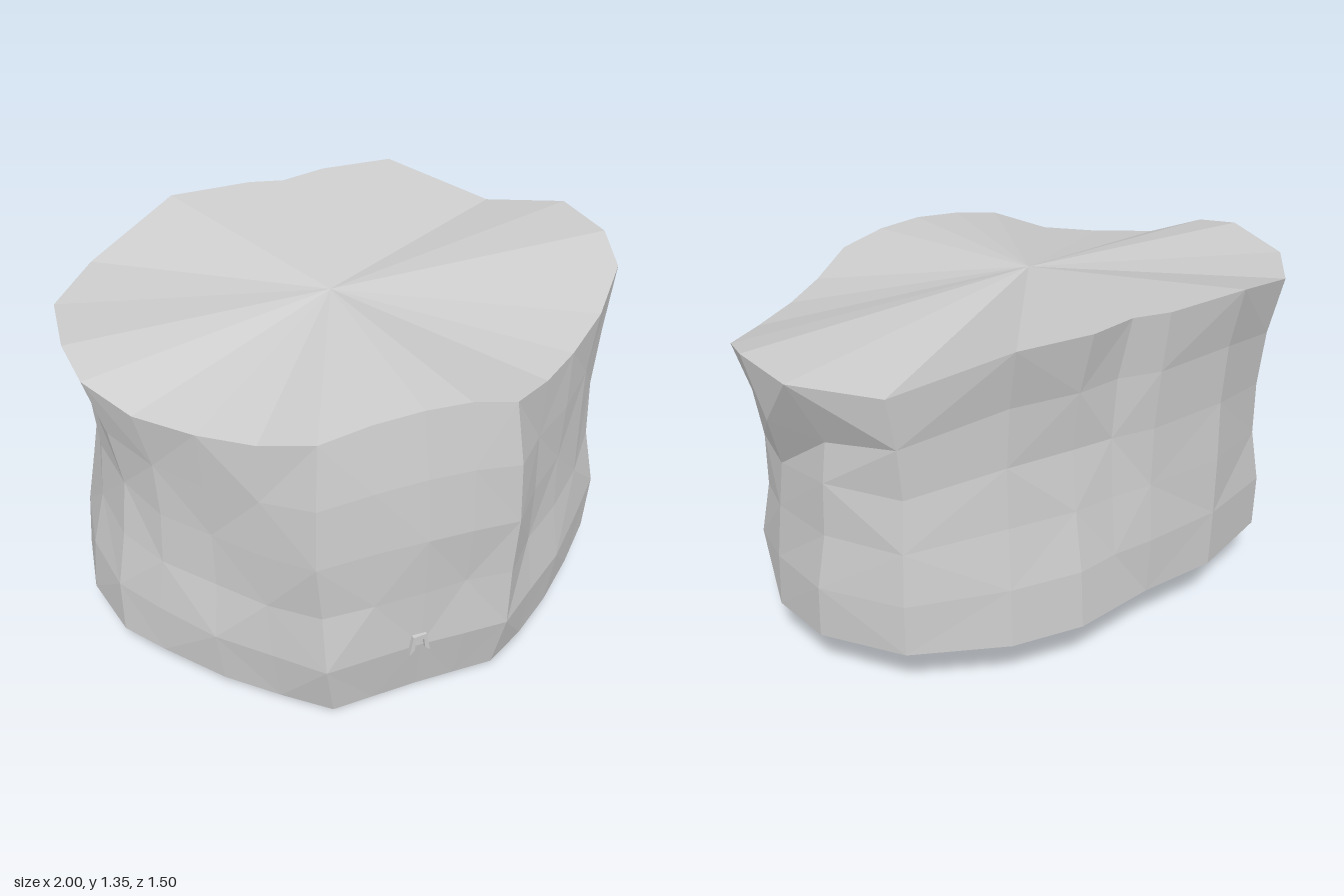
import * as THREE from 'three';

// Outlines run from the front round by +x to the back: [x, y, z]
const rim = [
  [-0.1, 1.19, 0.68], [0.06, 1.18, 0.69], [0.22, 1.14, 0.7], [0.4, 1.1, 0.59], [0.57, 1.095, 0.48], [0.77, 1.12, 0.34],
  [0.95, 1.18, 0.17], [1, 1.23, 0], [0.99, 1.235, -0.26], [0.77, 1.2, -0.46], [0.45, 1.345, -0.67], [0.19, 1.34, -0.71],
  [0.02, 1.335, -0.69], [-0.1, 1.335, -0.73], [-0.4, 1.335, -0.75], [-0.76, 1.22, -0.6], [-0.95, 1.2, -0.4],
  [-1, 1.21, -0.12], [-0.99, 1.17, 0.05], [-0.88, 1.1, 0.2], [-0.73, 1.085, 0.36], [-0.58, 1.09, 0.5],
  [-0.44, 1.14, 0.64], [-0.27, 1.175, 0.66],
];
// Waist outline: [x, z]
const waist = [
  [-0.1, 0.74], [0.06, 0.745], [0.24, 0.75], [0.38, 0.6], [0.55, 0.49], [0.7, 0.38], [0.83, 0.25], [0.88, 0.03],
  [0.87, -0.23], [0.72, -0.45], [0.43, -0.6], [0.2, -0.64], [0.05, -0.65], [-0.1, -0.69], [-0.4, -0.69], [-0.7, -0.57],
  [-0.86, -0.36], [-0.91, -0.12], [-0.9, 0.06], [-0.82, 0.21], [-0.7, 0.35], [-0.59, 0.51], [-0.47, 0.68], [-0.28, 0.715],
];
const foot = [
  [-0.1, 0.005, 0.67], [0.05, 0.003, 0.68], [0.2, 0, 0.69], [0.36, 0.015, 0.62], [0.52, 0.04, 0.53], [0.68, 0.08, 0.42],
  [0.82, 0.13, 0.31], [0.92, 0.195, 0.06], [0.91, 0.22, -0.2], [0.75, 0.24, -0.48], [0.45, 0.25, -0.66],
  [0.2, 0.25, -0.72], [0.05, 0.25, -0.71], [-0.1, 0.25, -0.7], [-0.4, 0.235, -0.7], [-0.74, 0.21, -0.59],
  [-0.95, 0.175, -0.37], [-1, 0.145, -0.15], [-0.96, 0.105, 0.07], [-0.86, 0.075, 0.2], [-0.7, 0.03, 0.38],
  [-0.55, 0.015, 0.53], [-0.41, 0.005, 0.66], [-0.26, 0.005, 0.665],
];
const N = rim.length;
const lerp = THREE.MathUtils.lerp;

// How far each row, from the bottom up, leaves the waist for the foot or the rim
const blend = [1, 0.7, 0.3, 0, 0.28, 1];
const ROWS = blend.length - 1;

// Overhanging fold on the +x side, keyed by column and row
const fold = { '7,3': [0.89, 0.79, 0.01], '7,4': [0.97, 1.02, -0.08], '8,4': [0.86, 0.98, -0.24] };

// Point on the wall: flares to the rim above the waist, bulges to the foot below
function wallPoint(j, row) {
  if (row === 0) return foot[j];
  if (row === ROWS) return rim[j];
  if (fold[`${j},${row}`]) return fold[`${j},${row}`];
  const t = row / ROWS;
  const end = t > 0.5 ? rim[j] : foot[j];
  const x = lerp(waist[j][0], end[0], blend[row]);
  const z = lerp(waist[j][1], end[2], blend[row]);
  const bulge = row === 1 ? 1.01 + 0.05 * Math.max(0, z) : 1;
  const rough = 1 + 0.006 * Math.sin(j * 2.7 + row * 4.1);
  const s = Math.min(bulge * rough, 1 / Math.abs(x));
  return [x * s, lerp(foot[j][1], rim[j][1], t), z * s];
}

function surface(name, positions, index) {
  const geometry = new THREE.BufferGeometry();
  geometry.setAttribute('position', new THREE.Float32BufferAttribute(positions.flat(), 3));
  geometry.setIndex(index);
  geometry.computeVertexNormals();
  const mesh = new THREE.Mesh(geometry, new THREE.MeshStandardMaterial({ color: 0xcccccc, flatShading: true }));
  mesh.name = name;
  return mesh;
}

// Fan of triangles from a centre point to an outline
function cap(name, centre, outline, up) {
  const index = [];
  for (let j = 0; j < N; j++) {
    const a = j + 1, b = ((j + 1) % N) + 1;
    index.push(0, ...(up ? [a, b] : [b, a]));
  }
  return surface(name, [centre, ...outline], index);
}

export function createModel() {
  const group = new THREE.Group();
  group.name = 'rockSlab';

  // Faceted side wall; diagonals alternate except along the fold
  const points = [], index = [];
  for (let row = 0; row <= ROWS; row++) {
    for (let j = 0; j < N; j++) {
      points.push(wallPoint(j, row));
      if (row === ROWS) continue;
      const a = row * N + j, b = row * N + ((j + 1) % N);
      const c = b + N, d = a + N;
      if (j === 7 || (j + row) % 2) index.push(a, b, c, a, c, d);
      else index.push(a, b, d, b, c, d);
    }
  }
  group.add(surface('sideWall', points, index));

  // Top and tilted underside
  group.add(cap('topFace', [-0.09, 1.24, -0.03], rim, true));
  group.add(cap('underside', [-0.08, 0.12, 0], foot, false));

  // Tiny arched chip low on the front
  const arch = new THREE.Shape([
    [-0.04, 0], [-0.02, 0.02], [-0.015, 0.06], [0.015, 0.06], [0.02, 0.02], [0.04, 0], [0.025, 0.08], [-0.025, 0.08],
  ].map(([x, y]) => new THREE.Vector2(x, y)));
  const chip = new THREE.Mesh(
    new THREE.ExtrudeGeometry(arch, { depth: 0.04, bevelEnabled: false }),
    new THREE.MeshStandardMaterial({ color: 0xcccccc, flatShading: true }),
  );
  chip.name = 'frontChip';
  chip.position.set(-0.115, 0.215, 0.69);
  group.add(chip);

  return group;
}
